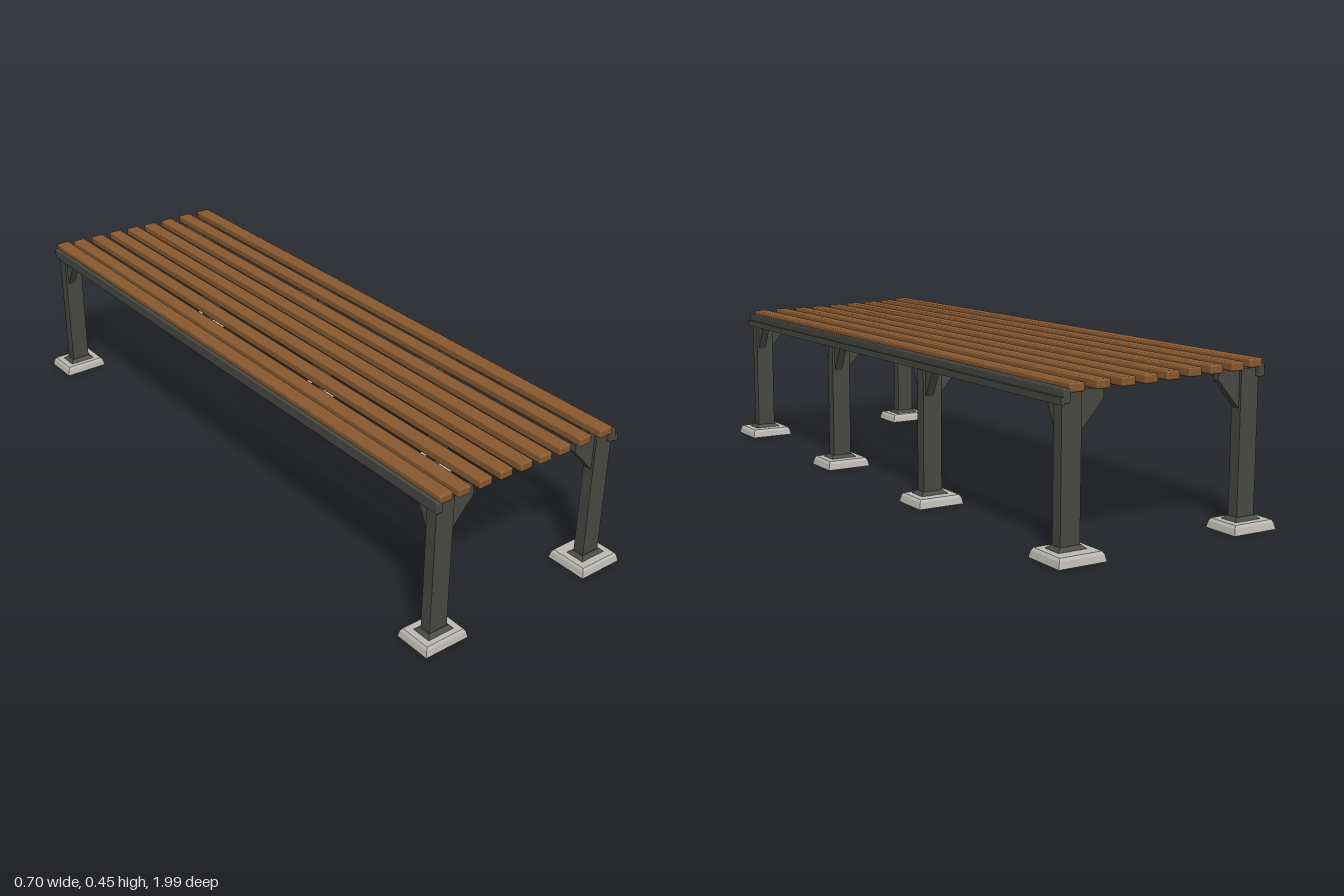
import * as THREE from 'three';
import { RoundedBoxGeometry } from 'three/addons/geometries/RoundedBoxGeometry.js';

export function createModel() {
  const model = new THREE.Group();
  model.name = 'slattedBench';

  const material = (name, color) => {
    const m = new THREE.MeshStandardMaterial({ color });
    m.name = name;
    return m;
  };
  const wood = material('brown wood', 0x8a5a30);
  const steel = material('dark steel', 0x494a45);
  const concrete = material('pale concrete', 0xbdbbb3);

  const add = (parent, name, geometry, mat, x = 0, y = 0, z = 0) => {
    const mesh = new THREE.Mesh(geometry, mat);
    mesh.name = name;
    mesh.position.set(x, y, z);
    parent.add(mesh);
    return mesh;
  };

  // Box whose top is inset, standing on y = 0
  const taperedBox = (w, h, d, inset) => {
    const g = new THREE.BoxGeometry(w, h, d).translate(0, h / 2, 0);
    const p = g.attributes.position;
    for (let i = 0; i < p.count; i++) {
      if (p.getY(i) < h / 2) continue;
      p.setX(i, p.getX(i) - Math.sign(p.getX(i)) * inset);
      p.setZ(i, p.getZ(i) - Math.sign(p.getZ(i)) * inset);
    }
    g.computeVertexNormals();
    return g;
  };

  // Upright plate with a sloping lower edge, running along +x
  const gusset = (reach, drop, lip, thickness) => {
    const s = new THREE.Shape();
    s.moveTo(0, 0);
    s.lineTo(0, -drop);
    s.lineTo(reach, -lip);
    s.lineTo(reach, 0);
    s.closePath();
    return new THREE.ExtrudeGeometry(s, { depth: thickness, bevelEnabled: false })
      .translate(0, 0, -thickness / 2);
  };

  // Seat slats: centre x, centre y, width
  const slats = [
    [-0.286, 0.441, 0.043], [-0.226, 0.436, 0.042], [-0.156, 0.434, 0.042],
    [-0.086, 0.433, 0.042], [-0.017, 0.43, 0.042], [0.052, 0.427, 0.042],
    [0.121, 0.426, 0.042], [0.196, 0.426, 0.042], [0.273, 0.424, 0.045],
  ];
  for (const [x, y, w] of slats) {
    add(model, 'seatSlat', new RoundedBoxGeometry(w, 0.024, 1.92, 2, 0.005), wood, x, y, 0);
  }

  // Long side rails
  add(model, 'leftRail', new RoundedBoxGeometry(0.02, 0.034, 1.92, 1, 0.004), steel, -0.307, 0.421, 0);
  add(model, 'rightRail', new RoundedBoxGeometry(0.022, 0.036, 1.92, 1, 0.004), steel, 0.302, 0.405, 0);
  add(model, 'rightRailLip', new THREE.BoxGeometry(0.012, 0.019, 1.92), steel, 0.315, 0.394, 0);

  // Legs: side, z, plinth z, plinth depth, directions of the lengthwise braces
  const legs = [
    [-1, 0.932, 0.93, 0.112, [-1]],
    [-1, -0.928, -0.93, 0.112, [1]],
    [1, 0.932, 0.928, 0.128, [-1]],
    [1, 0.32, 0.315, 0.12, [1, -1]],
    [1, -0.26, -0.268, 0.118, [1, -1]],
    [1, -0.928, -0.935, 0.13, [1]],
  ];
  for (const [side, z, plinthZ, plinthDepth, braces] of legs) {
    const leg = new THREE.Group();
    leg.name = side < 0 ? 'leftLeg' : 'rightLeg';
    leg.position.set(side * 0.279, 0, z);
    model.add(leg);
    const top = side < 0 ? 0.427 : 0.414;

    add(leg, 'plinth', taperedBox(0.141, 0.018, plinthDepth, 0.004), concrete, 0, 0, plinthZ - z);
    add(leg, 'plinthTop', taperedBox(0.133, 0.008, plinthDepth - 0.008, 0.005), concrete, 0, 0.018, plinthZ - z);
    add(leg, 'footFlange', taperedBox(0.084, 0.01, 0.058, 0.01), steel, 0, 0.026, 0);
    add(leg, 'post', new THREE.BoxGeometry(0.058, top - 0.026, 0.034), steel, 0, (top + 0.026) / 2, 0);

    // Crosswise bracket towards the middle of the seat
    const bracket = add(leg, 'crossBracket', gusset(0.073, 0.107, 0.026, 0.02), steel, -side * 0.026, top, 0);
    if (side > 0) bracket.rotation.y = Math.PI;

    // Lengthwise braces under the rail
    for (const dir of braces) {
      const brace = add(leg, 'lengthBrace', gusset(0.046, 0.11, 0.02, 0.024), steel, side * 0.01, top, dir * 0.016);
      brace.rotation.y = -dir * Math.PI / 2;
    }
  }
  return model;
}
